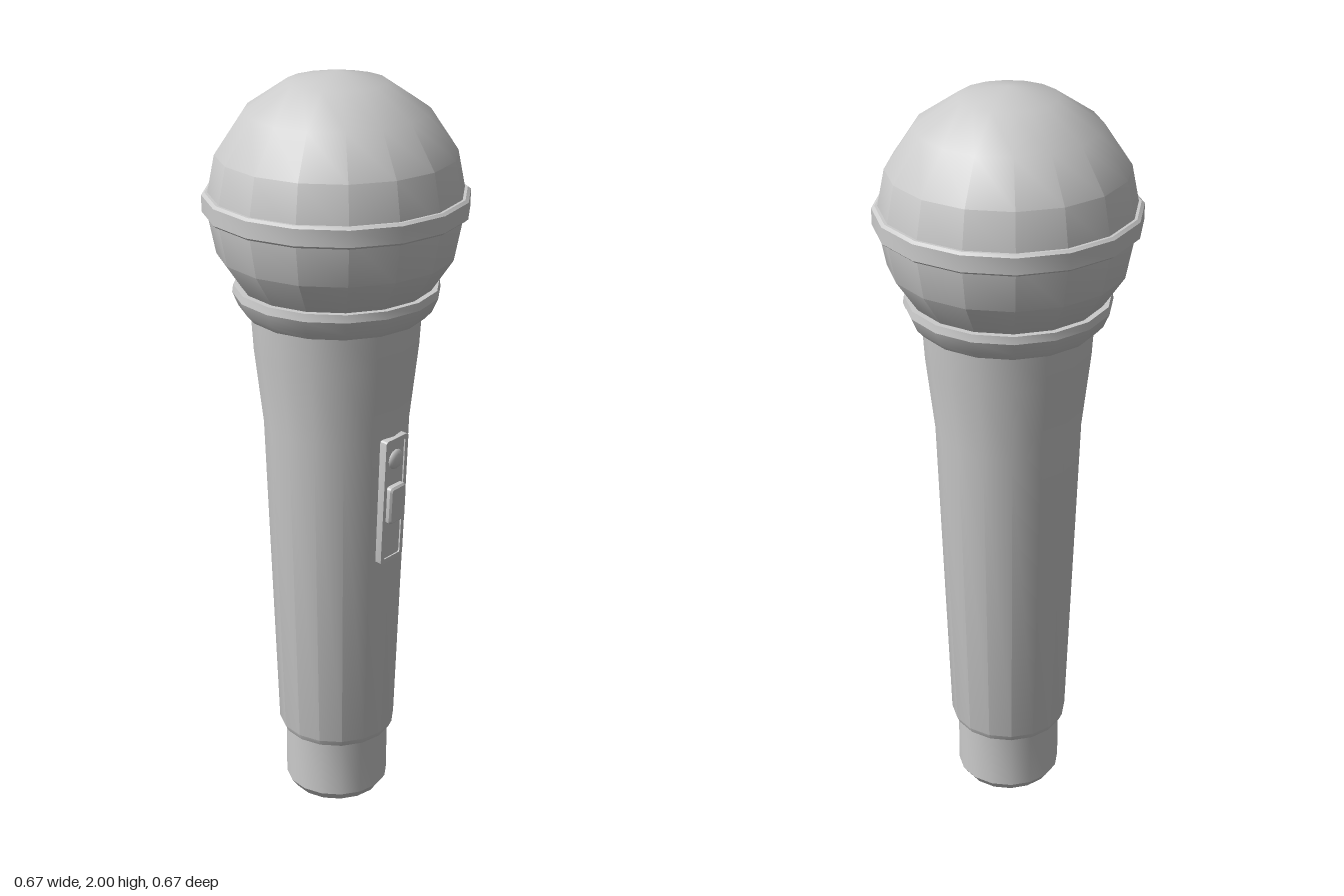
import * as THREE from 'three';
import { toCreasedNormals } from 'three/addons/utils/BufferGeometryUtils.js';

const SIDES = 16;
const material = new THREE.MeshStandardMaterial({ color: 0xcccccc });

function addMesh(parent, name, geometry, x = 0, y = 0, z = 0) {
  const mesh = new THREE.Mesh(geometry, material);
  mesh.name = name;
  mesh.position.set(x, y, z);
  parent.add(mesh);
  return mesh;
}

// Turned part from [radius, height] pairs, listed from bottom to top on the outside
function turned(parent, name, profile) {
  const points = profile.map(([r, y]) => new THREE.Vector2(r, y));
  return addMesh(parent, name, toCreasedNormals(new THREE.LatheGeometry(points, SIDES), 0.5));
}

function roundedRect(Type, w, h, r) {
  const s = new Type();
  const x = w / 2, y = h / 2;
  s.moveTo(-x + r, -y);
  s.lineTo(x - r, -y);
  s.quadraticCurveTo(x, -y, x, -y + r);
  s.lineTo(x, y - r);
  s.quadraticCurveTo(x, y, x - r, y);
  s.lineTo(-x + r, y);
  s.quadraticCurveTo(-x, y, -x, y - r);
  s.lineTo(-x, -y + r);
  s.quadraticCurveTo(-x, -y, -x + r, -y);
  return s;
}

function extruded(shape, depth, bevel = 0) {
  return toCreasedNormals(new THREE.ExtrudeGeometry(shape, {
    depth, curveSegments: 3, bevelEnabled: bevel > 0,
    bevelThickness: bevel, bevelSize: bevel, bevelOffset: -bevel, bevelSegments: 1,
  }), 0.5);
}

export function createModel() {
  const model = new THREE.Group();
  model.name = 'microphone';

  // Connector end and tapered handle
  turned(model, 'connector', [[0, 0], [0.122, 0], [0.14, 0.025], [0.14, 0.2]]);
  turned(model, 'handle', [
    [0.13, 0.188], [0.15, 0.188], [0.158, 0.205], [0.19, 1.09],
    [0.213, 1.29], [0.22, 1.4],
  ]);

  // Flared collar under the grille
  turned(model, 'collar', [
    [0.2, 1.39], [0.232, 1.39], [0.25, 1.41], [0.265, 1.445],
    [0.262, 1.465], [0.24, 1.465], [0.23, 1.445],
  ]);

  // Ball grille
  const ball = [];
  for (let i = 1; i <= 8; i++) {
    const a = -Math.PI / 2 + (i * Math.PI) / 8;
    ball.push([i === 8 ? 0 : 0.327 * Math.cos(a), 1.673 + 0.327 * Math.sin(a)]);
  }
  turned(model, 'grille', ball);

  // Band around the grille
  turned(model, 'grilleBand', [
    [0.315, 1.65], [0.329, 1.65], [0.336, 1.656], [0.336, 1.698],
    [0.328, 1.704], [0.31, 1.704],
  ]);

  // Switch panel, tilted to follow the handle
  const panel = new THREE.Group();
  panel.name = 'switchPanel';
  panel.position.set(0, 0.915, 0.184);
  panel.rotation.x = 0.045;
  model.add(panel);

  const frame = roundedRect(THREE.Shape, 0.09, 0.352, 0.01);
  frame.holes.push(roundedRect(THREE.Path, 0.066, 0.328, 0.006));
  addMesh(panel, 'panelFrame', extruded(frame, 0.03), 0, 0, -0.02);
  addMesh(panel, 'panelFloor', new THREE.BoxGeometry(0.07, 0.332, 0.024), 0, 0, -0.006);
  addMesh(panel, 'slideSwitch',
    extruded(roundedRect(THREE.Shape, 0.064, 0.104, 0.012), 0.016, 0.005), 0, -0.008, 0.003);

  // Round stud above the switch
  const stud = new THREE.SphereGeometry(0.028, 12, 5, 0, Math.PI * 2, 0, Math.PI / 2);
  stud.scale(1, 0.5, 1).rotateX(Math.PI / 2);
  addMesh(panel, 'stud', stud, 0, 0.115, 0.005);

  return model;
}
